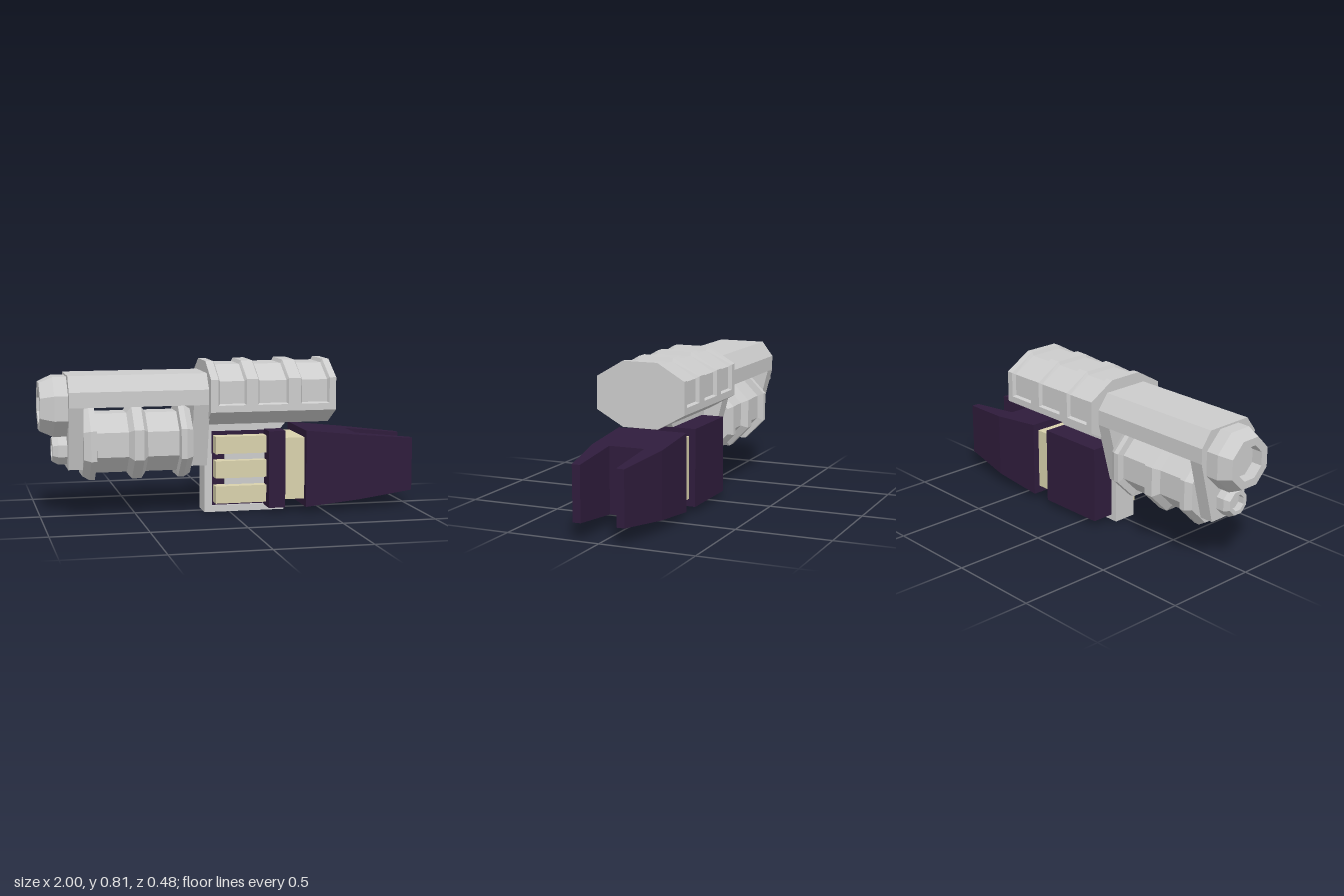
import * as THREE from 'three';

const mat = (color) => new THREE.MeshStandardMaterial({ color, flatShading: true });

// Joins cross-sections along x; each section is { x, ring: [[y, z], ...] } running from top towards +z.
function loft(sections) {
  const pos = [], idx = [], n = sections[0].ring.length, last = (sections.length - 1) * n;
  for (const { x, ring } of sections) for (const [y, z] of ring) pos.push(x, y, z);
  for (let s = 0; s < last; s += n) {
    for (let i = 0; i < n; i++) {
      const j = (i + 1) % n;
      idx.push(s + i, s + j, s + n + j, s + i, s + n + j, s + n + i);
    }
  }
  for (let i = 1; i < n - 1; i++) idx.push(0, i + 1, i, last, last + i, last + i + 1);
  const g = new THREE.BufferGeometry();
  g.setAttribute('position', new THREE.Float32BufferAttribute(pos, 3));
  g.setIndex(idx);
  g.computeVertexNormals();
  return g;
}

// Completes a half ring (z > 0, top to bottom) with its mirror image.
const mirrorRing = (half) => [...half, ...half.slice().reverse().map(([y, z]) => [y, -z])];

// Eight-sided turned part along x; profile is [x, apothem] pairs from high x to low x.
function turned(profile, y) {
  const k = 1 / Math.cos(Math.PI / 8);
  const pts = profile.map(([x, r]) => new THREE.Vector2(r * k, -x));
  return new THREE.LatheGeometry(pts, 8, Math.PI / 8).rotateZ(Math.PI / 2).translate(0, y, 0);
}

// Box given by its limits.
const box = (x0, x1, y0, y1, z0, z1) =>
  new THREE.BoxGeometry(x1 - x0, y1 - y0, z1 - z0)
    .translate((x0 + x1) / 2, (y0 + y1) / 2, (z0 + z1) / 2);

export function createModel() {
  const group = new THREE.Group();
  const grey = mat(0xcccccc), purple = mat(0x2f1c3c), tan = mat(0xd8d1ac);
  const add = (name, geometry, material = grey) => {
    const mesh = new THREE.Mesh(geometry, material);
    mesh.name = name;
    group.add(mesh);
  };

  // Barrel housing with a tapered hanger at each end
  const housing = mirrorRing([[0.75, 0.13], [0.67, 0.19], [0.59, 0.19]]);
  add('barrelHousing', loft([{ x: -0.86, ring: housing }, { x: -0.12, ring: housing }]));
  const hanger = mirrorRing([[0.59, 0.19], [0.26, 0.105]]);
  for (const [name, x0, x1] of [['frontHanger', -0.86, -0.785], ['rearHanger', -0.215, -0.13]]) {
    add(name, loft([{ x: x0, ring: hanger }, { x: x1, ring: hanger }]));
  }

  // Hollow muzzles
  add('muzzle', turned([[-0.85, 0.155], [-0.93, 0.155], [-1, 0.125], [-1, 0.085], [-0.94, 0.085], [-0.94, 0]], 0.585));
  add('lowerMuzzle', turned([[-0.85, 0.075], [-0.905, 0.075], [-0.935, 0.06], [-0.935, 0.04], [-0.9, 0.04], [-0.9, 0]], 0.355));

  // Pump grip with three raised bands
  add('pumpGrip', turned([
    [-0.215, 0], [-0.215, 0.17], [-0.25, 0.19], [-0.28, 0.19], [-0.285, 0.155],
    [-0.45, 0.155], [-0.475, 0.19], [-0.525, 0.19], [-0.55, 0.155],
    [-0.715, 0.155], [-0.72, 0.19], [-0.75, 0.19], [-0.785, 0.17], [-0.785, 0],
  ], 0.39));

  // Receiver with three shallow recesses wrapping over the top
  const receiverRing = (d) => mirrorRing([
    [0.81 - d, 0.095], [0.725 - d * 0.6, 0.24 - d], [0.59 + d * 0.4, 0.24 - d],
    [0.59, 0.24], [0.555, 0.24], [0.475, 0.095],
  ]);
  const sections = [{ x: -0.135, ring: receiverRing(0) }];
  for (const [x0, x1] of [[-0.095, 0.055], [0.115, 0.28], [0.345, 0.5]]) {
    for (const [x, d] of [[x0, 0], [x0 + 0.01, 0.018], [x1 - 0.01, 0.018], [x1, 0]]) {
      sections.push({ x, ring: receiverRing(d) });
    }
  }
  sections.push({ x: 0.535, ring: receiverRing(0) });
  add('receiver', loft(sections));

  // C-shaped bracket around the magazine
  const bracket = new THREE.Shape([
    [-0.135, 0], [0.3, 0], [0.3, 0.035], [-0.095, 0.035], [-0.095, 0.435],
    [0.275, 0.435], [0.315, 0.48], [-0.135, 0.48],
  ].map((p) => new THREE.Vector2(...p)));
  add('bracket', new THREE.ExtrudeGeometry(bracket, { depth: 0.13, bevelEnabled: false }).translate(0, 0, -0.065));

  // Magazine case, open on the front side, and its cells
  add('magazineCase', box(-0.1, 0.28, 0.03, 0.44, -0.19, 0.05), purple);
  add('magazineEndBlock', box(0.19, 0.28, 0.03, 0.44, 0.04, 0.175), purple);
  for (const y of [0.1, 0.235, 0.365]) {
    add('cell', box(-0.085, 0.195, y - 0.046, y + 0.046, 0.03, 0.12), tan);
  }
  for (const y of [0.168, 0.3]) {
    add('cellSpacer', box(-0.025, 0.19, y - 0.02, y + 0.02, 0.03, 0.075));
  }

  // Joint between magazine and stock
  add('stockJoint', box(0.27, 0.4, 0.07, 0.4, -0.155, 0.155), tan);

  // Forked stock: plan outline raised, then tapered in height towards the rear
  const plan = new THREE.Shape([
    [0.39, -0.19], [0.69, -0.19], [1, -0.138], [1, -0.095], [0.69, -0.095],
    [0.69, 0.095], [1, 0.095], [1, 0.138], [0.69, 0.19], [0.39, 0.19],
  ].map((p) => new THREE.Vector2(...p)));
  const stock = new THREE.ExtrudeGeometry(plan, { depth: 1, bevelEnabled: false }).rotateX(-Math.PI / 2);
  const p = stock.attributes.position;
  for (let i = 0; i < p.count; i++) {
    const t = (p.getX(i) - 0.39) / 0.61;
    p.setY(i, THREE.MathUtils.lerp(0.03 + 0.06 * t, 0.44 - 0.065 * t, p.getY(i)));
  }
  stock.computeVertexNormals();
  add('stock', stock, purple);

  return group;
}
